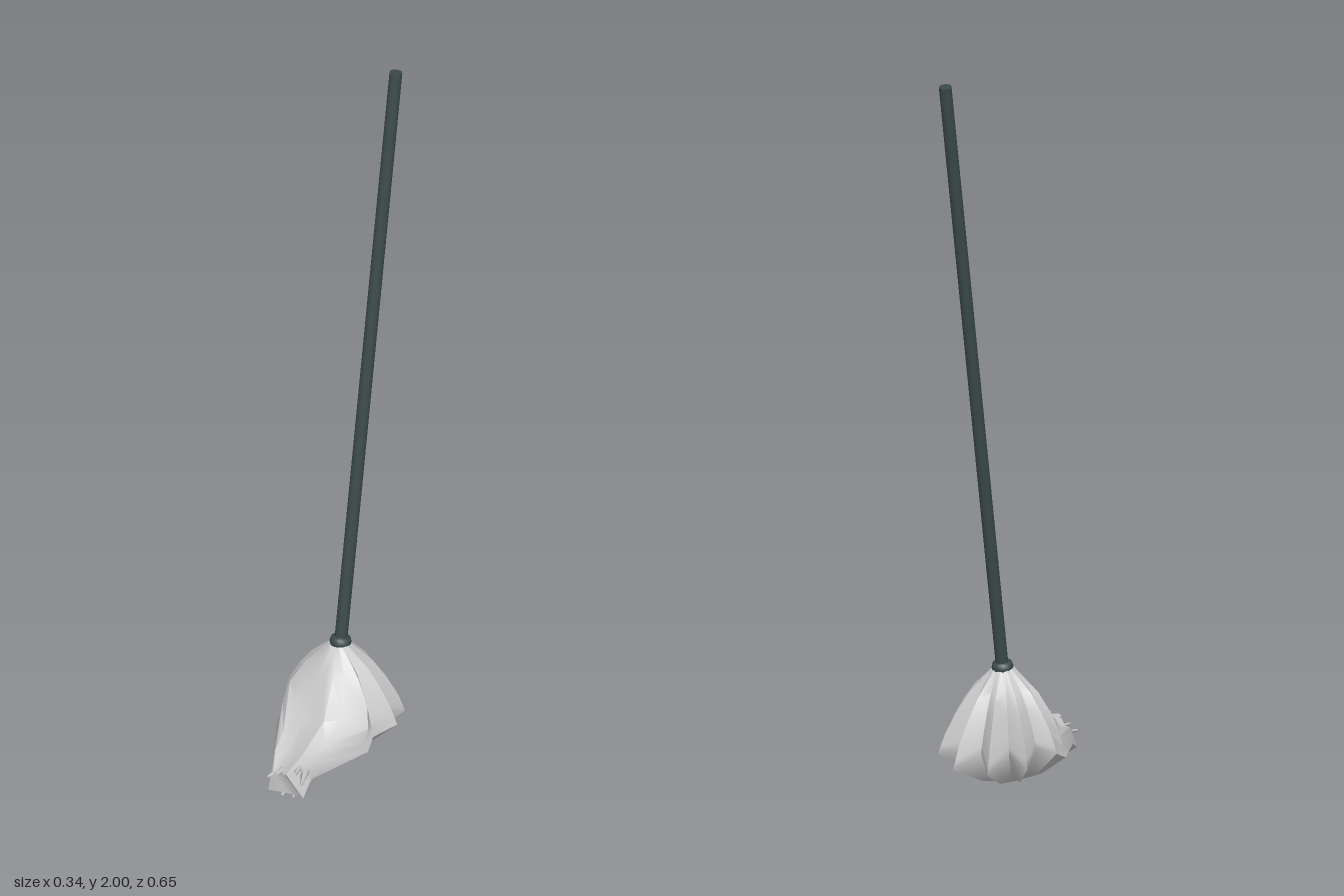
import * as THREE from 'three';
import { toCreasedNormals } from 'three/addons/utils/BufferGeometryUtils.js';

// Right half of the ragged hem, back to front: [x, y, z], valleys and tips alternating
const HEM = [
  [0, 0.12, -0.13], [0.053, 0.08, -0.185], [0.07, 0.12, -0.105], [0.138, 0.095, -0.123], [0.117, 0.13, -0.045],
  [0.17, 0.12, -0.027], [0.13, 0.1, 0.03], [0.138, 0.08, 0.07], [0.06, 0.065, 0.235],
];
// The toe, swept to one side
const TOE = [[0.09, 0.07, 0.325], [0.03, 0.05, 0.3], [-0.035, 0.035, 0.295]];
// Levels from neck to hem as [outward, widening, drop] fractions
const BACK = [[0, 0, 0], [0.42, 0.42, 0.28], [0.65, 0.65, 0.5], [0.86, 0.86, 0.75], [1, 1, 1]];
const FRONT = [[0, 0, 0], [0.17, 0.75, 0.25], [0.37, 1.25, 0.6], [0.7, 1.1, 0.76], [0.95, 0.9, 0.83], [1, 1, 1]];
BACK.splice(4, 0, [0.95, 0.95, 0.9]);

const lerp = THREE.MathUtils.lerp;

function mopHeadGeometry() {
  const mirrored = HEM.slice(1).reverse().map(([x, y, z]) => [-x, y, z]);
  const hem = [...HEM, ...TOE, ...mirrored];
  const n = hem.length;
  const pos = [], index = [];

  // Draped outside: every strand runs from the neck to its hem point
  for (let l = 0; l < BACK.length; l++) {
    hem.forEach(([hx, hy, hz], i) => {
      const a = (i / n) * Math.PI * 2;
      const nx = 0.026 * Math.sin(a), nz = -0.018 - 0.026 * Math.cos(a);
      const d = Math.abs(i - n / 2);
      const w = d <= 2 ? 1 : d === 3 ? 0.3 : 0;
      const f = [0, 1, 2].map((k) => lerp(BACK[l][k], FRONT[l][k], w));
      const last = l === BACK.length - 1;
      const baseX = d <= 2 && !last ? 0.03 * (n / 2 - i) : hx;
      pos.push(lerp(nx, baseX, f[1]), lerp(0.332, hy, f[2]), lerp(nz, hz, f[0]));
    });
  }
  // Underside bulging down to the floor
  hem.forEach(([x, y, z]) => pos.push(x * 0.5, y * 0.28 + 0.005, lerp(0.05, z, 0.55)));
  const rings = BACK.length + 1;
  for (let l = 0; l < rings - 1; l++) {
    for (let i = 0; i < n; i++) {
      const a = l * n + i, b = l * n + (i + 1) % n;
      index.push(a, b, a + n, b, b + n, a + n);
    }
  }
  const centre = pos.length / 3;
  pos.push(0, 0, 0.05);
  for (let i = 0; i < n; i++) {
    index.push((rings - 1) * n + i, (rings - 1) * n + (i + 1) % n, centre);
  }
  const geo = new THREE.BufferGeometry();
  geo.setAttribute('position', new THREE.Float32BufferAttribute(pos, 3));
  geo.setIndex(index);
  return toCreasedNormals(geo, 0.9);
}

// Tapered round piece running from one point to another
function rod(name, from, to, r0, r1, sides, material) {
  const a = new THREE.Vector3(...from), b = new THREE.Vector3(...to);
  const dir = b.clone().sub(a);
  const mesh = new THREE.Mesh(new THREE.CylinderGeometry(r1, r0, dir.length(), sides), material);
  mesh.quaternion.setFromUnitVectors(new THREE.Vector3(0, 1, 0), dir.normalize());
  mesh.position.copy(a).add(b).multiplyScalar(0.5);
  mesh.name = name;
  return mesh;
}

export function createModel() {
  const group = new THREE.Group();
  group.name = 'mop';
  const cloth = new THREE.MeshStandardMaterial({ color: 0xcccccc, side: THREE.DoubleSide });
  const dark = new THREE.MeshStandardMaterial({ color: 0x3c4a4a });

  // Leaning handle
  const foot = [0, 0.32, -0.022], top = [0, 1.997, -0.312];
  group.add(rod('handle', foot, top, 0.017, 0.017, 16, dark));

  // Collar clamping the cloth
  const profile = [[0.015, -0.014], [0.026, -0.012], [0.029, 0], [0.026, 0.012], [0.015, 0.016]];
  const collar = new THREE.Mesh(
    new THREE.LatheGeometry(profile.map(([x, y]) => new THREE.Vector2(x, y)), 20), dark);
  collar.name = 'collar';
  collar.position.set(0, 0.332, -0.023);
  collar.rotation.x = -0.17;
  group.add(collar);

  // Cloth head
  const head = new THREE.Mesh(mopHeadGeometry(), cloth);
  head.name = 'mopHead';
  group.add(head);

  // Loose strand ends bunched at the toe
  const ends = new THREE.Group();
  ends.name = 'strandEnds';
  [[0.075, 0.1, 0.31], [0.05, 0.118, 0.3], [0.02, 0.11, 0.305], [-0.01, 0.095, 0.3], [-0.033, 0.08, 0.3],
    [0.05, 0.05, 0.31], [0.01, 0.035, 0.3]].forEach(([x, y, z]) => {
    ends.add(rod('strandEnd', [x * 0.55, lerp(0.085, y, 0.5), 0.225], [x, y, z], 0.014, 0.003, 5, cloth));
  });
  group.add(ends);
  return group;
}
